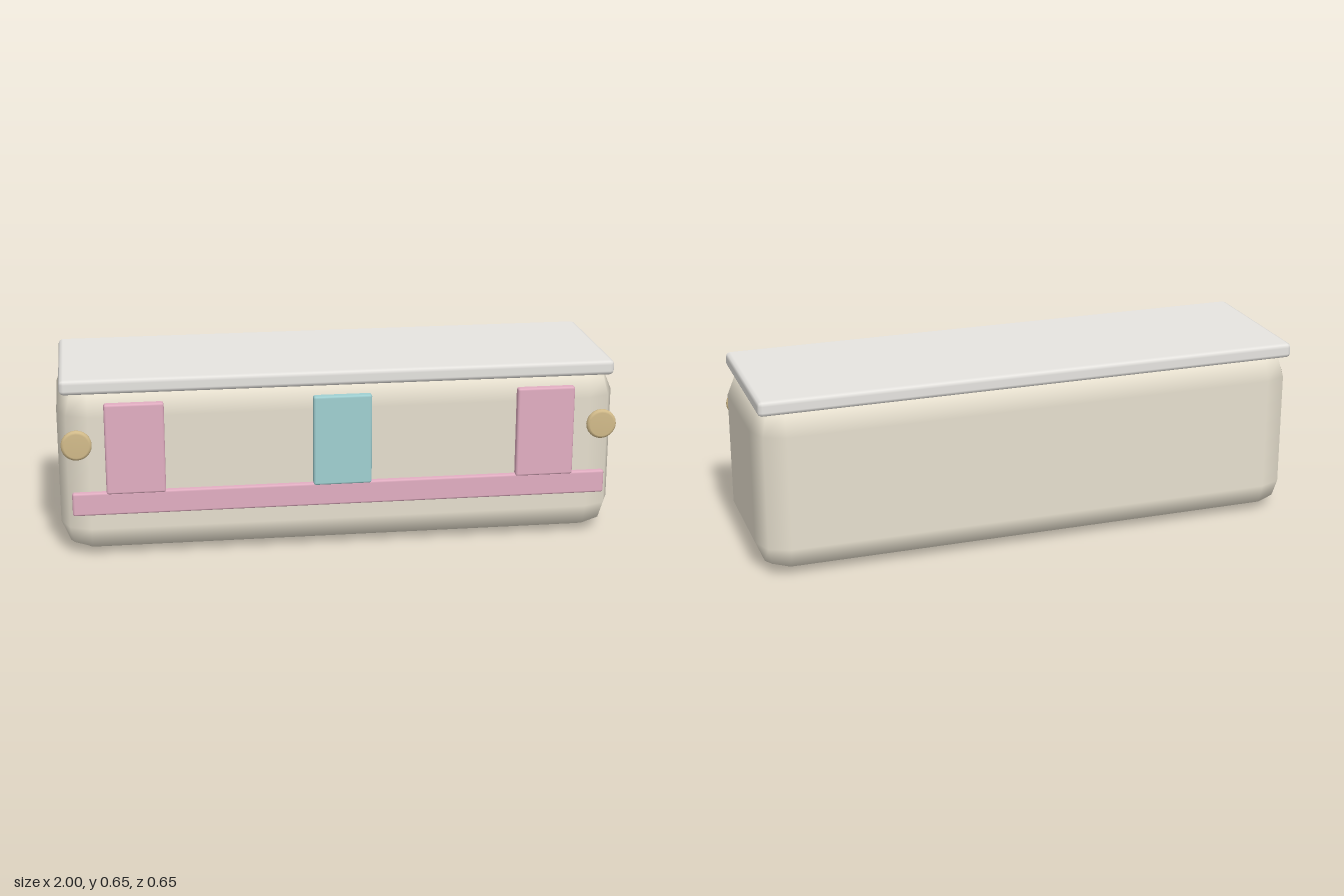
import * as THREE from 'three';
import { RoundedBoxGeometry } from 'three/addons/geometries/RoundedBoxGeometry.js';

const paint = (color) => new THREE.MeshStandardMaterial({ color });

export function createModel() {
  const group = new THREE.Group();
  const cream = paint(0xe6dfce);
  const white = paint(0xe6e4e0);
  const pink = paint(0xe2aec2);
  const teal = paint(0xa0d0d2);
  const brass = paint(0xd2bb8a);

  // Bevelled box spanning the given [min, max] ranges
  function block(name, [x0, x1], [y0, y1], [z0, z1], radius, material) {
    const geometry = new RoundedBoxGeometry(x1 - x0, y1 - y0, z1 - z0, 1, radius);
    const mesh = new THREE.Mesh(geometry, material);
    mesh.position.set((x0 + x1) / 2, (y0 + y1) / 2, (z0 + z1) / 2);
    mesh.name = name;
    group.add(mesh);
  }

  // Body with broad bevels, and the flat roof slab on top
  block('body', [-1, 1], [0, 0.626], [-0.323, 0.278], 0.107, cream);
  block('roof', [-0.988, 0.985], [0.596, 0.651], [-0.312, 0.267], 0.016, white);

  // Front trim: long rail, two side panels and the centre panel
  block('frontRail', [-0.957, 0.952], [0.165, 0.249], [0.272, 0.3], 0.008, pink);
  const panels = [['rightPanel', -0.733, pink], ['centrePanel', -0.003, teal], ['leftPanel', 0.728, pink]];
  for (const [name, x, material] of panels) {
    block(name, [x - 0.104, x + 0.104], [0.243, 0.571], [0.273, 0.307], 0.008, material);
  }

  // Round lamps with softened rims, turned to face forward
  const r = 0.054, h = 0.0125, b = 0.011;
  const profile = [new THREE.Vector2(0, -h), new THREE.Vector2(r - b, -h)];
  for (let i = 1; i <= 4; i++) {
    const a = -Math.PI / 2 + (i * Math.PI) / 5;
    profile.push(new THREE.Vector2(r - b + b * Math.cos(a), h * Math.sin(a)));
  }
  profile.push(new THREE.Vector2(r - b, h), new THREE.Vector2(0, h));
  const lampGeometry = new THREE.LatheGeometry(profile, 24).rotateX(Math.PI / 2);
  for (const [name, x] of [['rightLamp', -0.935], ['leftLamp', 0.929]]) {
    const lamp = new THREE.Mesh(lampGeometry, brass);
    lamp.position.set(x, 0.432, 0.3125);
    lamp.name = name;
    group.add(lamp);
  }
  return group;
}
